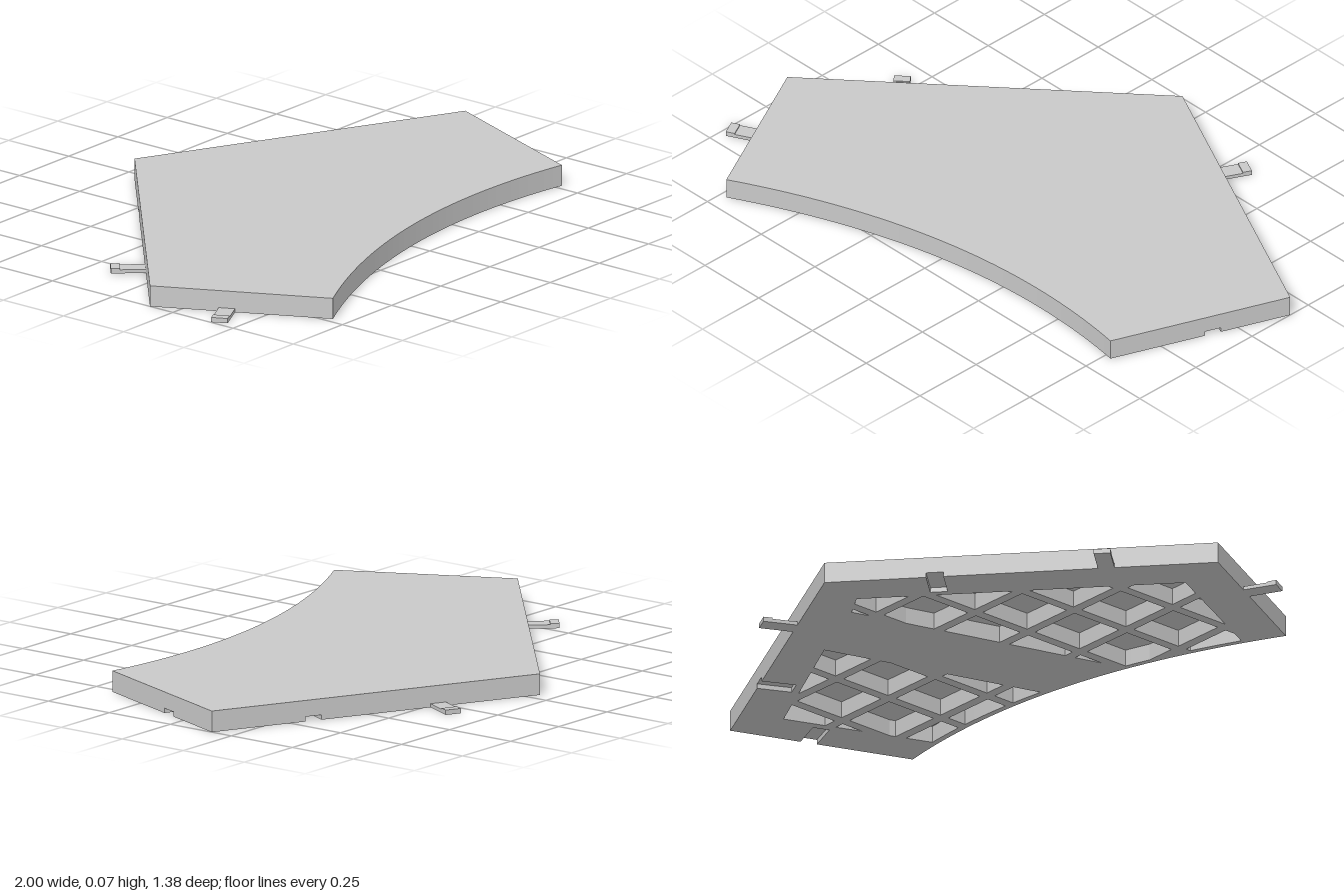
import * as THREE from 'three';

const HEIGHT = 0.07, SLOT_TOP = 0.016, POCKET_TOP = 0.056;

// Corners in plan as [x, z], clockwise from the rear corner
const A = [-0.045, -0.69], B = [1, -0.17], C = [0.775, 0.415], D = [-0.725, 0.69], E = [-1, 0.155];

// z of the concave front edge at x
function frontZ(x) {
  const t = (x - D[0]) / (C[0] - D[0]), s = 1 - t;
  return s * s * D[1] + 2 * s * t * 0.286 + t * t * C[1];
}

function frontCurve(x0, x1, inset, n) {
  return Array.from({ length: n + 1 }, (_, i) => {
    const x = x0 + (x1 - x0) * i / n;
    return [x, frontZ(x) - inset];
  });
}

// Point, direction and outward normal at a fraction along an edge
function edgeFrame(p, q, f) {
  const dx = q[0] - p[0], dz = q[1] - p[1], l = Math.hypot(dx, dz);
  return { x: p[0] + dx * f, z: p[1] + dz * f, d: [dx / l, dz / l], o: [dz / l, -dx / l] };
}

// Corners of a receiving slot cut inward from an edge
function notch(p, q, f, width = 0.056, depth = 0.115) {
  const e = edgeFrame(p, q, f), h = width / 2;
  return [[-h, 0], [-h, -depth], [h, -depth], [h, 0]].map(([a, b]) =>
    [e.x + e.d[0] * a + e.o[0] * b, e.z + e.d[1] * a + e.o[1] * b]);
}

// Clip a polygon to the half-plane sign * p[axis] <= sign * limit
function clip(poly, axis, limit, sign) {
  const out = [];
  poly.forEach((p, i) => {
    const q = poly[(i + 1) % poly.length];
    const a = sign * (limit - p[axis]), b = sign * (limit - q[axis]);
    if (a >= 0) out.push(p);
    if (a * b < 0) {
      const t = a / (a - b);
      out.push([p[0] + (q[0] - p[0]) * t, p[1] + (q[1] - p[1]) * t]);
    }
  });
  return out;
}

// Split a pocket into the open cells between crossing ribs
function latticeCells(pocket, step = 0.225, rib = 0.034) {
  const cells = [];
  for (let i = -8; i < 8; i++) {
    for (let j = -8; j < 8; j++) {
      const x = 0.48 + i * step, z = 0.05 + j * step, r = rib / 2;
      let c = clip(pocket, 0, x + r, -1);
      c = clip(c, 0, x + step - r, 1);
      c = clip(c, 1, z + r, -1);
      c = clip(c, 1, z + step - r, 1);
      if (c.length < 3) continue;
      const area = Math.abs(THREE.ShapeUtils.area(c.map(p => new THREE.Vector2(...p))));
      if (area > 0.0006) cells.push(c);
    }
  }
  return cells;
}

// Extrude a plan outline between two heights; holes wind against the outline
function slab(outline, holes, y0, y1) {
  const pts = list => list.map(([x, z]) => new THREE.Vector2(x, -z));
  const shape = new THREE.Shape(pts(outline));
  shape.holes = holes.map(h => new THREE.Path(pts(h).reverse()));
  const g = new THREE.ExtrudeGeometry(shape, { depth: y1 - y0, bevelEnabled: false });
  return g.rotateX(-Math.PI / 2).translate(0, y0, 0);
}

export function createModel() {
  const model = new THREE.Group();
  model.name = 'floorTile';
  const grey = new THREE.MeshStandardMaterial({ color: 0xc8c8c8 });
  grey.name = 'light grey';

  const add = (name, geometry, parent = model) => {
    const mesh = new THREE.Mesh(geometry, grey);
    mesh.name = name;
    parent.add(mesh);
  };

  const front = frontCurve(C[0], D[0], 0, 40);
  const outline = [A, B, ...front, E];
  const slotted = [A, ...notch(A, B, 0.69), B, ...notch(B, C, 0.43), ...front, E, ...notch(E, A, 0.72)];

  // Underside pockets on both sides of the solid middle band
  const pockets = [
    [[0.34, -0.35], [0.82, -0.1], ...frontCurve(0.635, 0.12, 0.02, 12)],
    [[-0.02, -0.53], [0.066, -0.475], ...frontCurve(-0.197, -0.602, 0.02, 12), [-0.814, 0.18]],
  ];
  const cells = pockets.flatMap(p => latticeCells(p));

  // Plate in three layers: slotted base, ribbed body, closed top
  add('slottedBase', slab(slotted, cells, 0, SLOT_TOP));
  add('ribbedBody', slab(outline, cells, SLOT_TOP, POCKET_TOP));
  add('topPlate', slab(outline, [], POCKET_TOP, HEIGHT));

  // Connecting tabs with a raised lip at the tip
  for (const [p, q, f] of [[A, B, 0.31], [D, E, 0.58], [E, A, 0.284]]) {
    const e = edgeFrame(p, q, f);
    const tab = new THREE.Group();
    tab.name = 'connectingTab';
    tab.position.set(e.x, 0, e.z);
    tab.rotation.y = Math.atan2(-e.o[1], e.o[0]);
    add('tabStrip', new THREE.BoxGeometry(0.12, 0.012, 0.054).translate(0.052, 0.006, 0), tab);
    add('tabLip', new THREE.BoxGeometry(0.03, 0.016, 0.054).translate(0.098, 0.008, 0), tab);
    model.add(tab);
  }
  return model;
}
